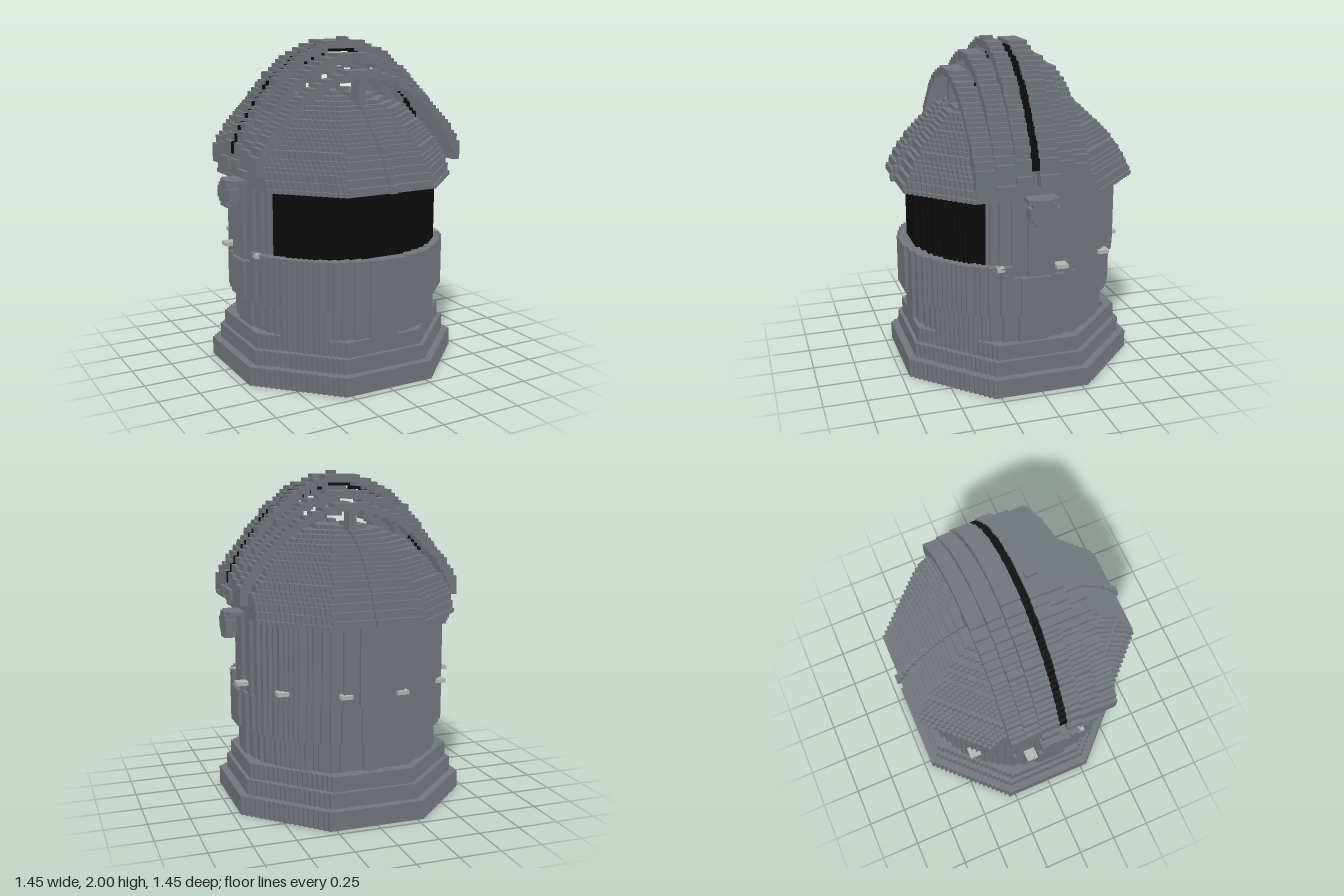
import * as THREE from 'three';

const V = 2 / 88;              // cube size
const N = 34, H = 90;          // half grid width, grid height
const mat = (name, color) => Object.assign(new THREE.MeshStandardMaterial({ color }), { name });

// Surface of all cubes whose centre passes the test; faces are joined into strips.
function voxels(test) {
  const size = [2 * N, H, 2 * N], off = [-N, 0, -N];
  const cells = new Uint8Array(size[0] * size[1] * size[2]);
  const index = (p) => (p[0] * size[1] + p[1]) * size[2] + p[2];
  for (let i = 0; i < size[0]; i++) for (let j = 0; j < H; j++) for (let k = 0; k < size[2]; k++)
    if (test((i - N + 0.5) * V, (j + 0.5) * V, (k - N + 0.5) * V)) cells[index([i, j, k])] = 1;
  const solid = (p) => p.every((c, a) => c >= 0 && c < size[a]) && cells[index(p)] === 1;
  const pos = [], nor = [];
  for (let d = 0; d < 3; d++) for (const s of [-1, 1]) {
    const u = d === 1 ? 0 : 1, w = 3 - d - u;
    const even = (u - d + 3) % 3 === 1;   // d, u, w in cyclic order
    const open = (p) => {
      if (!solid(p)) return false;
      const q = [...p]; q[d] += s;
      return !solid(q);
    };
    for (let a = 0; a < size[d]; a++) for (let b = 0; b < size[w]; b++) {
      const p = []; p[d] = a; p[w] = b;
      for (let c = 0; c < size[u]; c++) {
        p[u] = c;
        if (!open(p)) continue;
        const start = c;
        while (c + 1 < size[u]) { p[u] = c + 1; if (!open(p)) break; c++; }
        const corner = (cu, cw) => {
          const r = [];
          r[d] = a + (s > 0 ? 1 : 0); r[u] = cu; r[w] = cw;
          return r.map((v, n) => (v + off[n]) * V);
        };
        let quad = [corner(start, b), corner(c + 1, b), corner(c + 1, b + 1), corner(start, b + 1)];
        if (even !== (s > 0)) quad = quad.reverse();
        const n = [0, 0, 0]; n[d] = s;
        for (const t of [0, 1, 2, 0, 2, 3]) { pos.push(...quad[t]); nor.push(...n); }
      }
    }
  }
  const g = new THREE.BufferGeometry();
  g.setAttribute('position', new THREE.Float32BufferAttribute(pos, 3));
  g.setAttribute('normal', new THREE.Float32BufferAttribute(nor, 3));
  return g;
}

// Linear interpolation through [input, output] pairs.
function lerpTable(table, t) {
  if (t <= table[0][0]) return table[0][1];
  for (let i = 1; i < table.length; i++) {
    const [a, fa] = table[i - 1], [b, fb] = table[i];
    if (t <= b) return fa + (fb - fa) * (t - a) / (b - a);
  }
  return -1;
}

const octagon = (x, z, hx, hz, diag) =>
  Math.abs(x) < hx && Math.abs(z) < hz && Math.abs(x) + Math.abs(z) < diag;
const ellipse = (x, z, rx, rz, cz) => (x / rx) ** 2 + ((z - cz) / rz) ** 2 < 1;
const tubeWall = (x, z, rx, rz, cz, t = 0.05) =>
  ellipse(x, z, rx, rz, cz) && !ellipse(x, z, rx - t, rz - t, cz);
const between = (v, a, b) => v > a && v < b;

// Dome outline: size of the octagon at each height
const DOME = [[1.16, 1], [1.21, 0.99], [1.28, 0.94], [1.37, 0.865], [1.48, 0.735], [1.58, 0.58],
  [1.63, 0.45], [1.66, 0.31], [1.685, 0.15]];
const inDome = (x, y, z, inset = 0) => {
  const s = lerpTable(DOME, y);
  return s > 0 && octagon(x, z, Math.min(0.625, 0.66 * s) - inset, 0.7 * s - inset, 0.98 * s - inset * 1.4);
};

// Centre line of the tallest arch, from its foot to its crown
const ARCH = [[0.675, 1.25], [0.66, 1.38], [0.6, 1.5], [0.51, 1.635], [0.41, 1.76],
  [0.26, 1.88], [0.1, 1.945], [0, 1.955]];
function inArch(x, y, top, foot = 1.25) {
  if (y < foot) return false;
  const k = (top - 0.022 - 1.25) / 0.705, kx = 0.92 + 0.08 * k;
  const px = Math.abs(x);
  for (let i = 1; i < ARCH.length; i++) {
    const ax = ARCH[i - 1][0] * kx, ay = 1.25 + (ARCH[i - 1][1] - 1.25) * k;
    const dx = ARCH[i][0] * kx - ax, dy = 1.25 + (ARCH[i][1] - 1.25) * k - ay;
    const t = THREE.MathUtils.clamp(((px - ax) * dx + (y - ay) * dy) / (dx * dx + dy * dy), 0, 1);
    if (Math.hypot(px - ax - t * dx, y - ay - t * dy) < 0.026) return true;
  }
  return false;
}

export function createModel() {
  const group = new THREE.Group();
  group.name = 'helmet';
  const steel = mat('steel grey', 0x70757c);
  const black = mat('black', 0x0b0b0b);
  const silver = mat('rivet silver', 0xb2b5b0);
  const add = (name, material, test) => {
    const m = new THREE.Mesh(voxels(test), material);
    m.name = name;
    group.add(m);
  };

  // Stepped octagonal collar
  const collar = [[0, 0.115, 0.705], [0.115, 0.21, 0.655], [0.21, 0.3, 0.63]];
  add('collar', steel, (x, y, z) => collar.some(([y0, y1, r]) => between(y, y0, y1) &&
    octagon(x, z, r, r, r * 1.4) && !octagon(x, z, r - 0.055, r - 0.055, r * 1.4 - 0.077)));

  // Round neck and chin guard
  add('neck', steel, (x, y, z) => between(y, 0.28, 0.48) && tubeWall(x, z, 0.61, 0.607, 0.025));
  add('chinGuard', steel, (x, y, z) => between(y, 0.47, z > 0.15 ? 0.77 : 0.705) &&
    tubeWall(x, z, 0.655, 0.655, 0.027, 0.07));

  // Head wall and the dark face opening
  const face = (x, z) => z > 0.3 && Math.abs(x) < 0.535;
  add('headWall', steel, (x, y, z) => between(y, 0.705, 1.17) &&
    tubeWall(x, z, 0.63, 0.635, -0.02) && !face(x, z));
  add('faceOpening', black, (x, y, z) => between(y, 0.76, 1.17) &&
    tubeWall(x, z, 0.63, 0.635, -0.02) && face(x, z));

  // Eight-sided dome with a flat rim underneath
  add('dome', steel, (x, y, z) => y > 1.16 && inDome(x, y, z) &&
    !(y > 1.19 ? inDome(x, y + 0.05, z, 0.03) : ellipse(x, z, 0.58, 0.58, 0)));

  // Raised ridge from front to back, and the posts carrying the arches
  add('domeRidge', steel, (x, y, z) => Math.abs(x) < 0.025 && y > 1.15 &&
    !inDome(x, y, z) && (inDome(x, y, Math.abs(z) - 0.022) || inDome(x, y - 0.022, z)) && Math.abs(z) > 0.08);
  add('archPosts', steel, (x, y, z) => Math.abs(x) < 0.025 && between(y, 1.6, 1.8) &&
    (between(z, 0.27, 0.37) || between(z, -0.28, -0.19)));

  // Arched plates across the top, rising toward the middle
  const bands = [[0.265, 0.38, 1.815], [0.165, 0.265, 1.905], [0.07, 0.165, 1.985],
    [-0.09, 0.025, 1.978], [-0.19, -0.09, 1.888], [-0.28, -0.19, 1.815]];
  bands.forEach(([z0, z1, top], i) =>
    add('archPlate' + (i + 1), steel, (x, y, z) => between(z, z0, z1) && inArch(x, y, top)));
  add('archSlot', black, (x, y, z) => between(z, 0.025, 0.07) && inArch(x, y, 1.957, 1.33));
  add('crown', steel, (x, y, z) => Math.abs(x) < 0.025 && between(y, 1.97, 2) && between(z, 0.08, 0.165));

  // Side pivots
  add('pivots', steel, (x, y, z) => {
    const px = Math.abs(x), dy = Math.abs(y - 1.1), dz = Math.abs(z);
    return (between(px, 0.66, 0.72) && dy < 0.075 && dz < 0.09 && dy + dz < 0.12) ||
      (between(px, 0.61, 0.7) && between(y, 1.15, 1.19) && dz < 0.09);
  });

  // Rivets around the sides and back
  const rivets = [[0.6, 0.235], [0.65, -0.125], [0.485, -0.44], [0.18, -0.625]];
  add('rivets', silver, (x, y, z) => between(y, 0.75, 0.772) &&
    rivets.some(([rx, rz]) => Math.abs(Math.abs(x) - rx) < 0.034 && Math.abs(z - rz) < 0.026));

  return group;
}
